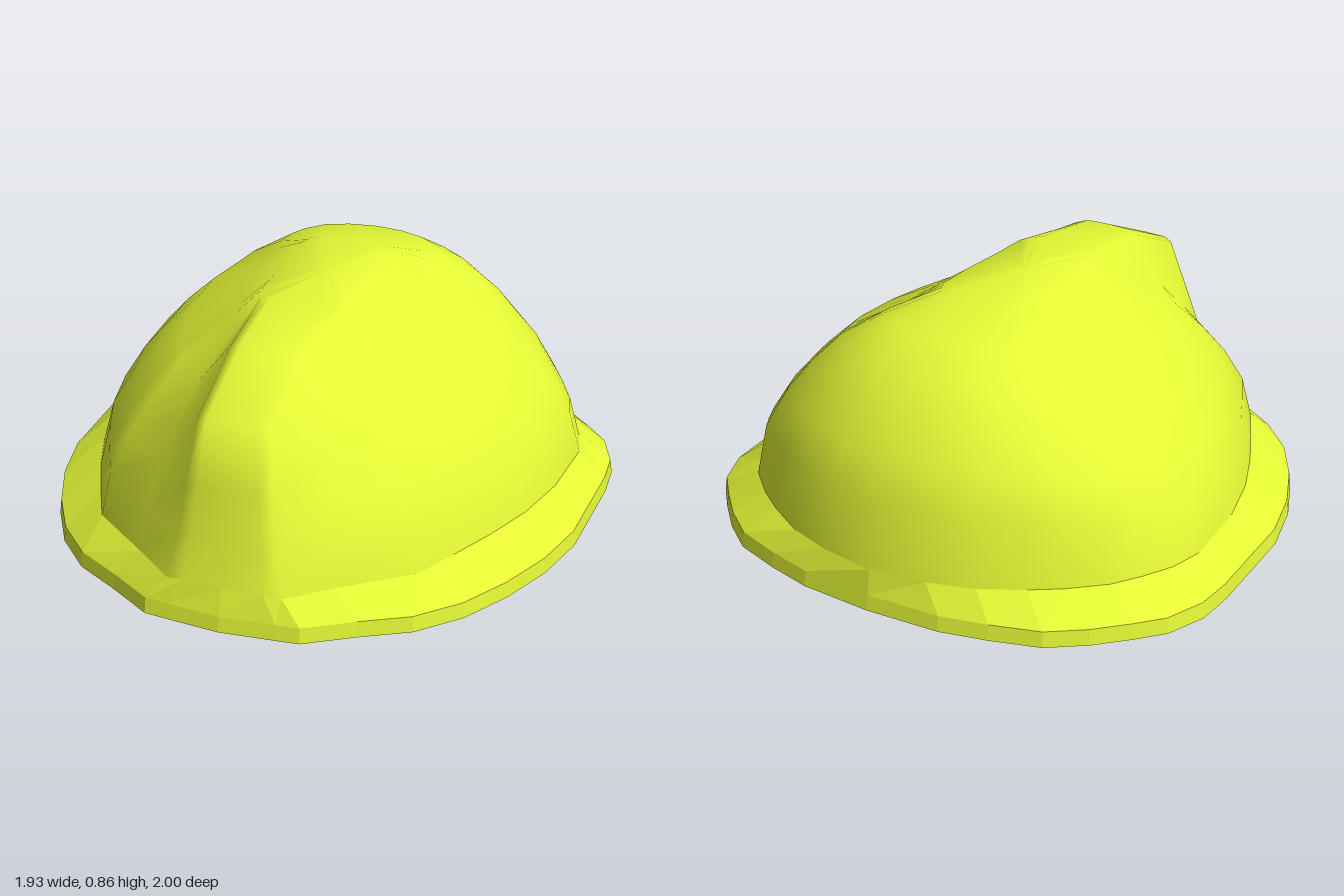
import * as THREE from 'three';

const material = (extra = {}) =>
  new THREE.MeshStandardMaterial({ color: 0xe4f835, side: THREE.DoubleSide, ...extra });

// Mirror a half loop (front centre -> left side -> back centre) into a closed ring
function ring(half) {
  const pts = half.map(p => new THREE.Vector3(...p));
  const mirrored = pts.slice(1, -1).reverse().map(p => new THREE.Vector3(-p.x, p.y, p.z));
  return [...pts, ...mirrored];
}

// Skin a stack of equal-length closed rings
function loft(rings) {
  const n = rings[0].length, pos = [], idx = [];
  rings.forEach(r => r.forEach(p => pos.push(p.x, p.y, p.z)));
  for (let i = 0; i < rings.length - 1; i++) {
    for (let j = 0; j < n; j++) {
      const k = (j + 1) % n;
      const a = i * n + j, b = i * n + k, c = a + n, d = b + n;
      idx.push(a, b, d, a, d, c);
    }
  }
  const g = new THREE.BufferGeometry();
  g.setAttribute('position', new THREE.Float32BufferAttribute(pos, 3));
  g.setIndex(idx);
  g.computeVertexNormals();
  return g;
}

// Plan outlines [x, z]: rim edge, foot of the dome, and crown
const RIM = [[0, 1], [0.19, 0.983], [0.27, 0.975], [0.43, 0.875], [0.59, 0.785], [0.72, 0.65],
  [0.82, 0.48], [0.9, 0.29], [0.95, 0.08], [0.965, -0.33], [0.955, -0.47], [0.9, -0.61],
  [0.82, -0.7], [0.72, -0.8], [0.6, -0.89], [0.43, -0.945], [0.265, -0.985], [0, -1]];
const FOOT = [[0.34, 0.84], [0.56, 0.67], [0.64, 0.51], [0.72, 0.34], [0.79, 0.16],
  [0.84, -0.05], [0.86, -0.33], [0.83, -0.45], [0.77, -0.56], [0.71, -0.65],
  [0.6, -0.75], [0.5, -0.82], [0.36, -0.9], [0.2, -0.95], [0, -0.98]];
const CROWN = [[0.15, 0.2], [0.155, 0.14], [0.155, 0.08], [0.16, 0.01], [0.165, -0.06],
  [0.17, -0.13], [0.17, -0.2], [0.17, -0.23], [0.16, -0.26], [0.15, -0.28],
  [0.13, -0.3], [0.11, -0.31], [0.08, -0.32], [0.04, -0.33], [0, -0.33]];

// Levels: [side spread, side height, back spread, back height, ridge z, ridge height, ridge half width]
const LEVELS = [
  [1, 0.15, 1, 0.15, 0.965, 0.15, 0.2],
  [0.94, 0.3, 0.95, 0.385, 0.93, 0.3, 0.17],
  [0.82, 0.43, 0.85, 0.52, 0.9, 0.47, 0.15],
  [0.68, 0.54, 0.715, 0.645, 0.86, 0.69, 0.12],
  [0.51, 0.65, 0.57, 0.735, 0.57, 0.82, 0.12],
  [0.2, 0.765, 0.39, 0.805, 0.42, 0.84, 0.125],
  [0, 0.855, 0, 0.855, 0.27, 0.858, 0.135],
];

function domeRing([kSide, ySide, kBack, yBack, rz, ry, rw]) {
  const { lerp, smoothstep } = THREE.MathUtils;
  const half = [[0, ry, rz], [rw * 0.7, ry, rz - 0.005], [rw, ry - 0.01, rz - 0.02]];
  FOOT.forEach(([x, z], i) => {
    const [cx, cz] = CROWN[i];
    const back = smoothstep(-z, 0.4, 0.98);
    const k = lerp(kSide, kBack, back);
    half.push([lerp(cx, x, k), lerp(ySide, yBack, back), lerp(cz, z, k)]);
  });
  return ring(half);
}

export function createModel() {
  const group = new THREE.Group();
  const add = (name, geometry, mat = material()) => {
    const mesh = new THREE.Mesh(geometry, mat);
    mesh.name = name;
    group.add(mesh);
  };

  // Thin dome with the raised front ridge, closed at the crown and hollow below
  const domeRings = LEVELS.map(domeRing);
  domeRings.push(domeRings[0].map(() => new THREE.Vector3(0, 0.86, -0.02)));
  add('domeShell', loft(domeRings));

  // Rim: short upright edge and faceted slope up to the dome
  const rimAt = (y, s) => ring(RIM.map(([x, z]) => [x * s, y, z * s]));
  const bottom = rimAt(0.005, 1);
  add('rim', loft([bottom, rimAt(0.06, 0.993), domeRings[0]]), material({ flatShading: true }));

  // Flat underside around an oval opening set towards the back
  const rx = 0.77, rz = 0.83, cz = -0.11;
  const opening = bottom.map(p => {
    const a = Math.atan2(p.x / rx, (p.z - cz) / rz);
    return new THREE.Vector3(rx * Math.sin(a), 0.005, cz + rz * Math.cos(a));
  });
  add('underside', loft([opening, bottom]));

  return group;
}
